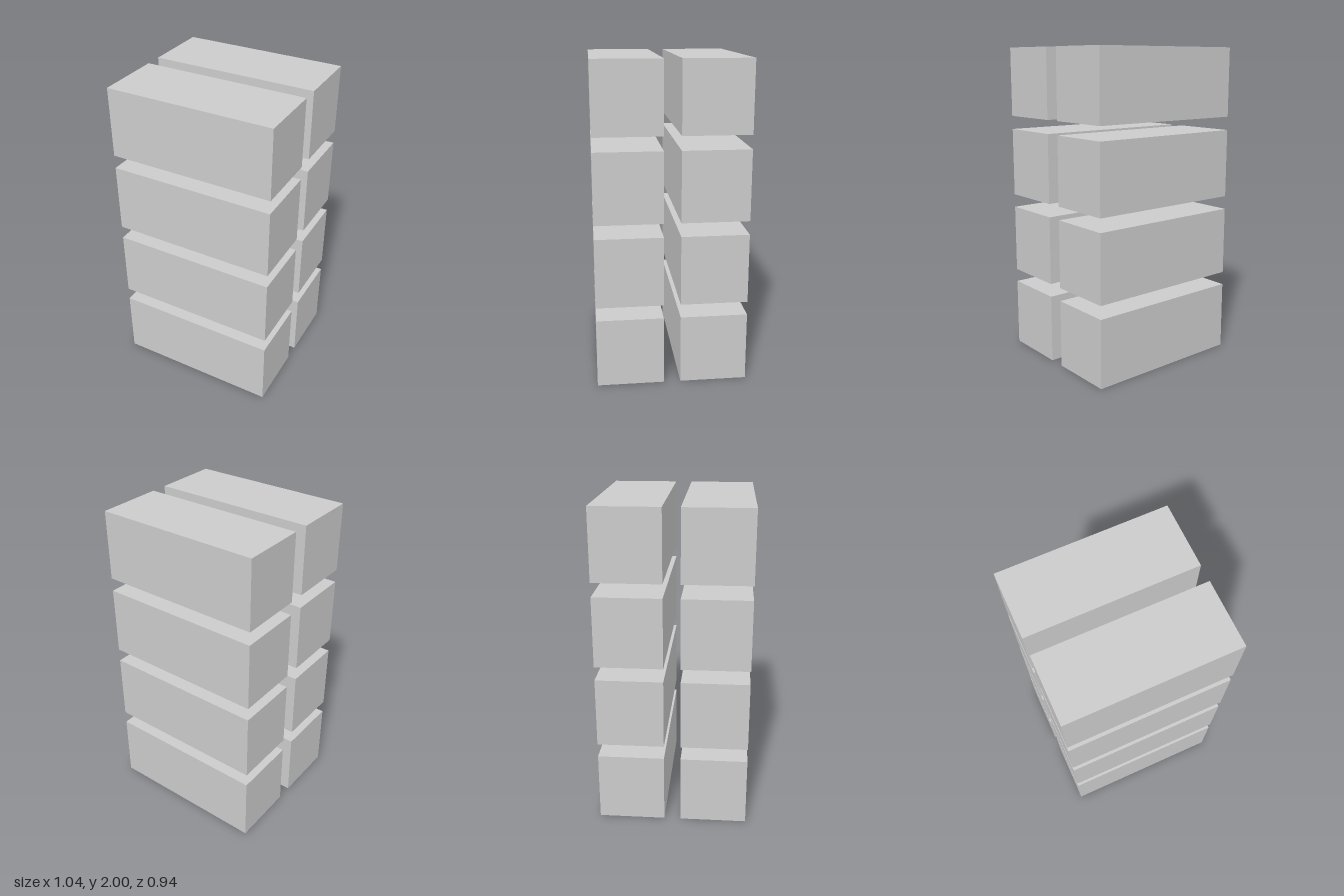
import * as THREE from 'three';

const WIDTH = 1.04, HEIGHT = 0.436, DEPTH = 0.416;
const ROWS = 4;
const PITCH = (2 - HEIGHT) / (ROWS - 1); // vertical spacing of the rows
const OFFSET_Z = 0.26; // distance of each column from the centre

export function createModel() {
  const model = new THREE.Group();
  model.name = 'blockStack';
  const material = new THREE.MeshStandardMaterial({ color: 0xcccccc, flatShading: true });
  const block = new THREE.BoxGeometry(WIDTH, HEIGHT, DEPTH);

  // Two separate columns of evenly spaced blocks
  for (const [name, side] of [['front', 1], ['back', -1]]) {
    const column = new THREE.Group();
    column.name = `${name}Column`;
    column.position.z = side * OFFSET_Z;
    for (let row = 0; row < ROWS; row++) {
      const mesh = new THREE.Mesh(block, material);
      mesh.name = `${name}Block${row + 1}`;
      mesh.position.y = HEIGHT / 2 + row * PITCH;
      column.add(mesh);
    }
    model.add(column);
  }
  return model;
}
